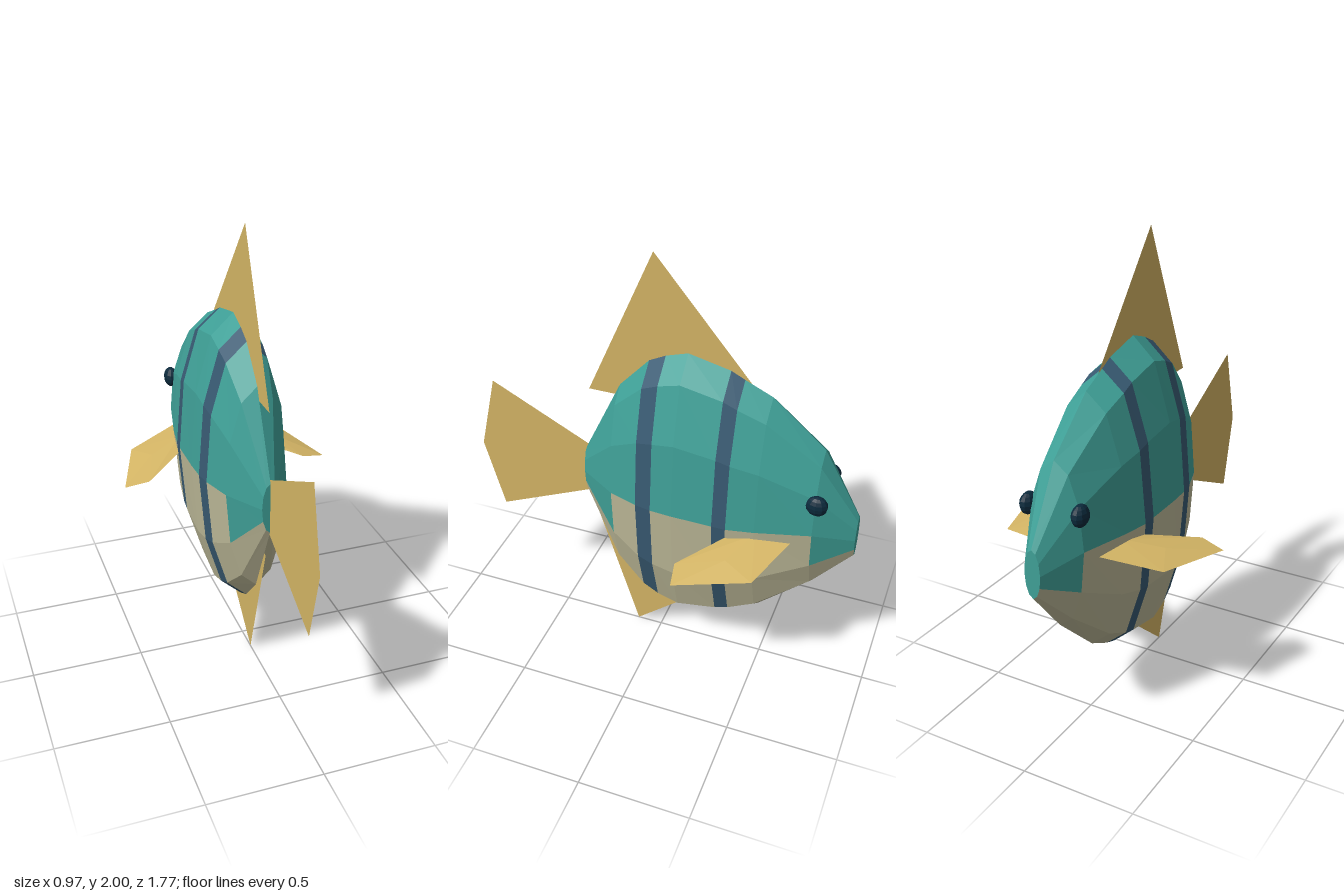
import * as THREE from 'three';
import { ConvexGeometry } from 'three/addons/geometries/ConvexGeometry.js';

const material = (name, color, side = THREE.FrontSide) => {
  const m = new THREE.MeshStandardMaterial({ color, side, flatShading: true });
  m.name = name;
  return m;
};

export function createModel() {
  const teal = material('teal', 0x3fa097);
  const cream = material('cream', 0xbdb998);
  const navy = material('navy', 0x385a72);
  const gold = material('gold', 0xd4b565, THREE.DoubleSide);
  const dark = material('eyeDark', 0x0c2a3c);

  const fish = new THREE.Group();
  fish.name = 'fish';
  const add = (name, geometry, mat) => {
    const mesh = new THREE.Mesh(geometry, mat);
    mesh.name = name;
    fish.add(mesh);
    return mesh;
  };

  // Body cross-sections from tail to mouth: z, top, bottom, half width
  const sections = [
    [0.353, 0.993, 0.76, 0.036],
    [0.185, 1.36, 0.39, 0.138],
    [0.053, 1.507, 0.25, 0.183],
    [-0.02, 1.545, 0.21, 0.195],
    [-0.117, 1.577, 0.177, 0.2],
    [-0.3, 1.535, 0.217, 0.2],
    [-0.36, 1.505, 0.24, 0.196],
    [-0.48, 1.45, 0.305, 0.178],
    [-0.715, 1.248, 0.527, 0.125],
    [-0.885, 0.945, 0.735, 0.036],
  ];
  const SIDES = 12;
  const point = (i, j) => {
    const [z, top, bottom, w] = sections[i];
    const a = (j / SIDES) * Math.PI * 2;
    return [w * Math.sin(a), (top + bottom) / 2 + ((top - bottom) / 2) * Math.cos(a), z];
  };
  const upper = [], belly = [], stripes = [];
  const last = sections.length - 1;
  for (let i = 0; i < last; i++) {
    const isEnd = i === 0 || i === last - 1;
    const isStripe = i === 2 || i === 5;
    for (let j = 0; j < SIDES; j++) {
      // The teal reaches one row lower at the head and tail
      const low = isEnd ? j >= 4 && j <= 7 : j >= 3 && j <= 8;
      const a = point(i, j), b = point(i, j + 1);
      const c = point(i + 1, j), d = point(i + 1, j + 1);
      (isStripe ? stripes : low ? belly : upper).push(...a, ...b, ...d, ...a, ...d, ...c);
    }
  }
  // Closed ends at tail root and mouth
  for (const i of [0, last]) {
    const [z, top, bottom] = sections[i];
    for (let j = 0; j < SIDES; j++) {
      const a = point(i, j), b = point(i, j + 1);
      upper.push(0, (top + bottom) / 2, z, ...(i === 0 ? [...b, ...a] : [...a, ...b]));
    }
  }
  const surface = (coords) => {
    const g = new THREE.BufferGeometry();
    g.setAttribute('position', new THREE.Float32BufferAttribute(coords, 3));
    g.computeVertexNormals();
    return g;
  };
  add('upperBody', surface(upper), teal);
  add('belly', surface(belly), cream);
  add('stripes', surface(stripes), navy);

  // Flat fins in the middle plane, outlines as z, y
  const flatFin = (name, outline) => {
    const shape = new THREE.Shape(outline.map(([z, y]) => new THREE.Vector2(-z, y)));
    add(name, new THREE.ShapeGeometry(shape).rotateY(Math.PI / 2), gold);
  };
  flatFin('dorsalFin', [[0.33, 1.305], [0.033, 2], [-0.545, 1.305]]);
  flatFin('tailFin', [[0.33, 1.0], [0.8, 1.237], [0.885, 0.877], [0.8, 0.54], [0.33, 0.755]]);
  flatFin('analFin', [[0.305, 0.617], [0.117, 0], [-0.6, 0.617]]);

  // Side fins: thin faceted blades drooping outward; outline as x, z, half thickness
  const blade = [
    [0.13, -0.635, 0], [0.16, -0.62, 0], [0.375, -0.535, 0], [0.483, -0.22, 0],
    [0.375, -0.2, 0], [0.2, -0.35, 0], [0.14, -0.4, 0],
    [0.15, -0.48, 0.016], [0.31, -0.4, 0.013],
  ];
  for (const [side, s] of [['left', 1], ['right', -1]]) {
    const points = blade.flatMap(([x, z, t]) => {
      const y = 0.82 - 0.21 * (x - 0.2);
      return (t ? [t, -t] : [0]).map((dy) => new THREE.Vector3(s * x, y + dy, z));
    });
    add(side + 'SideFin', new ConvexGeometry(points), gold);

    // Eyes
    const eye = add(side + 'Eye', new THREE.SphereGeometry(0.047, 10, 8), dark);
    eye.scale.x = 0.7;
    eye.position.set(s * 0.118, 1.048, -0.723);
  }
  return fish;
}
